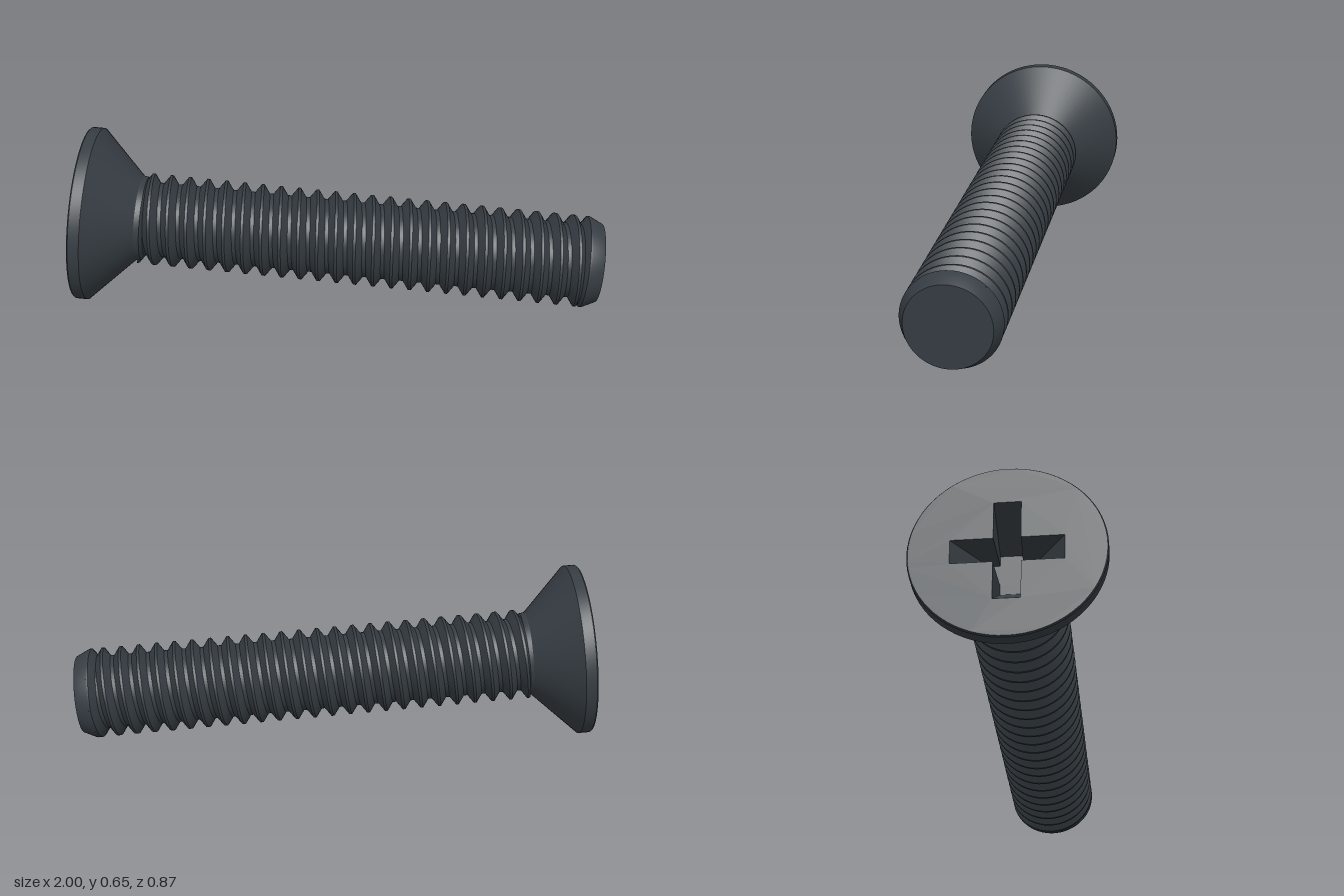
import * as THREE from 'three';
import { toCreasedNormals } from 'three/addons/utils/BufferGeometryUtils.js';

// Built along local +y (s): the driven face of the head is at s = 0, the tip at LENGTH.
const LENGTH = 1.943, HEAD_R = 0.325, ROOT_R = 0.14, CREST_R = 0.172, PITCH = 0.069;
const THREAD_START = 0.215, THREAD_END = 1.895;

const lathe = (points) => toCreasedNormals(
  new THREE.LatheGeometry(points.map(([r, s]) => new THREE.Vector2(r, s)), 72), 0.5);

// Helical thread: one V profile per turn, swept round and trimmed at both ends
function threadGeometry() {
  const profile = [[0, ROOT_R], [0.1, ROOT_R], [0.43, CREST_R], [0.57, CREST_R], [0.9, ROOT_R]];
  const base = 0.165, turns = 27, segments = 60;
  const positions = [], index = [];
  const rows = turns * profile.length;
  for (let j = 0; j <= rows; j++) {
    const [offset, radius] = profile[j % profile.length];
    const start = base + (Math.floor(j / profile.length) + offset) * PITCH;
    for (let i = 0; i <= segments; i++) {
      const t = (i / segments) * Math.PI * 2;
      const raw = start - (PITCH * i) / segments;
      const s = THREE.MathUtils.clamp(raw, THREAD_START, THREAD_END);
      const r = s === raw ? radius : ROOT_R;
      positions.push(r * Math.cos(t), s, r * Math.sin(t));
      if (j < rows && i < segments) {
        const a = j * (segments + 1) + i, b = a + segments + 1;
        index.push(a, b, b + 1, a, b + 1, a + 1);
      }
    }
  }
  const geometry = new THREE.BufferGeometry();
  geometry.setAttribute('position', new THREE.Float32BufferAttribute(positions, 3));
  geometry.setIndex(index);
  return toCreasedNormals(geometry, 0.5);
}

// Counter-clockwise outline of a cross with arm length l and half width w
function crossOutline(l, w) {
  const points = [];
  for (let k = 0; k < 4; k++) {
    for (const [x, y] of [[w, -w], [l, -w], [l, w]]) {
      points.push(new THREE.Vector2(x, y).rotateAround(new THREE.Vector2(), (k * Math.PI) / 2));
    }
  }
  return points;
}

// Tapered walls between the mouth and the floor of the recess
function recessWalls(mouth, floor, depth) {
  const positions = [];
  mouth.forEach((p, i) => {
    const k = (i + 1) % mouth.length;
    const a = [p.x, 0, p.y], b = [mouth[k].x, 0, mouth[k].y];
    const c = [floor[k].x, depth, floor[k].y], d = [floor[i].x, depth, floor[i].y];
    positions.push(...a, ...b, ...c, ...a, ...c, ...d);
  });
  const geometry = new THREE.BufferGeometry();
  geometry.setAttribute('position', new THREE.Float32BufferAttribute(positions, 3));
  geometry.computeVertexNormals();
  return geometry;
}

export function createModel() {
  const steel = new THREE.MeshStandardMaterial({ color: 0x363d43 });
  steel.name = 'darkSteel';

  const screw = new THREE.Group();
  screw.name = 'screw';
  const add = (name, geometry) => {
    const mesh = new THREE.Mesh(geometry, steel);
    mesh.name = name;
    screw.add(mesh);
  };

  // Countersunk head with a short neck
  add('head', lathe([[0.321, 0], [HEAD_R, 0.005], [HEAD_R, 0.045], [0.172, 0.197],
    [0.16, 0.21], [0.157, 0.23], [ROOT_R, 0.24]]));

  // Flat face with the cross-shaped drive recess
  const depth = 0.15;
  const mouth = crossOutline(0.185, 0.045), floor = crossOutline(0.075, 0.038);
  const faceShape = new THREE.Shape().absarc(0, 0, 0.321, 0, Math.PI * 2);
  faceShape.holes.push(new THREE.Path(mouth.slice().reverse()));
  add('headFace', new THREE.ShapeGeometry(faceShape, 36).rotateX(Math.PI / 2));
  add('recessWalls', recessWalls(mouth, floor, depth));
  add('recessFloor', new THREE.ShapeGeometry(new THREE.Shape(floor))
    .rotateX(Math.PI / 2).translate(0, depth, 0));

  // Threaded shank and chamfered tip
  add('threadedShank', threadGeometry());
  add('tip', lathe([[ROOT_R, 1.862], [CREST_R, 1.885], [CREST_R, 1.893],
    [0.148, LENGTH], [0, LENGTH]]));

  // Lay the screw down: head raised at -x, tip low towards +x and the front
  const axis = new THREE.Vector3(1, -0.085, 0.211).normalize();
  const up = new THREE.Vector3(0, 1, 0).addScaledVector(axis, -axis.y).normalize();
  const side = new THREE.Vector3().crossVectors(axis, up);
  screw.quaternion.setFromRotationMatrix(new THREE.Matrix4().makeBasis(side, axis, up));
  screw.position.set(-0.927, 0.328, -0.122);

  const model = new THREE.Group();
  model.name = 'countersunkScrew';
  model.add(screw);
  return model;
}
